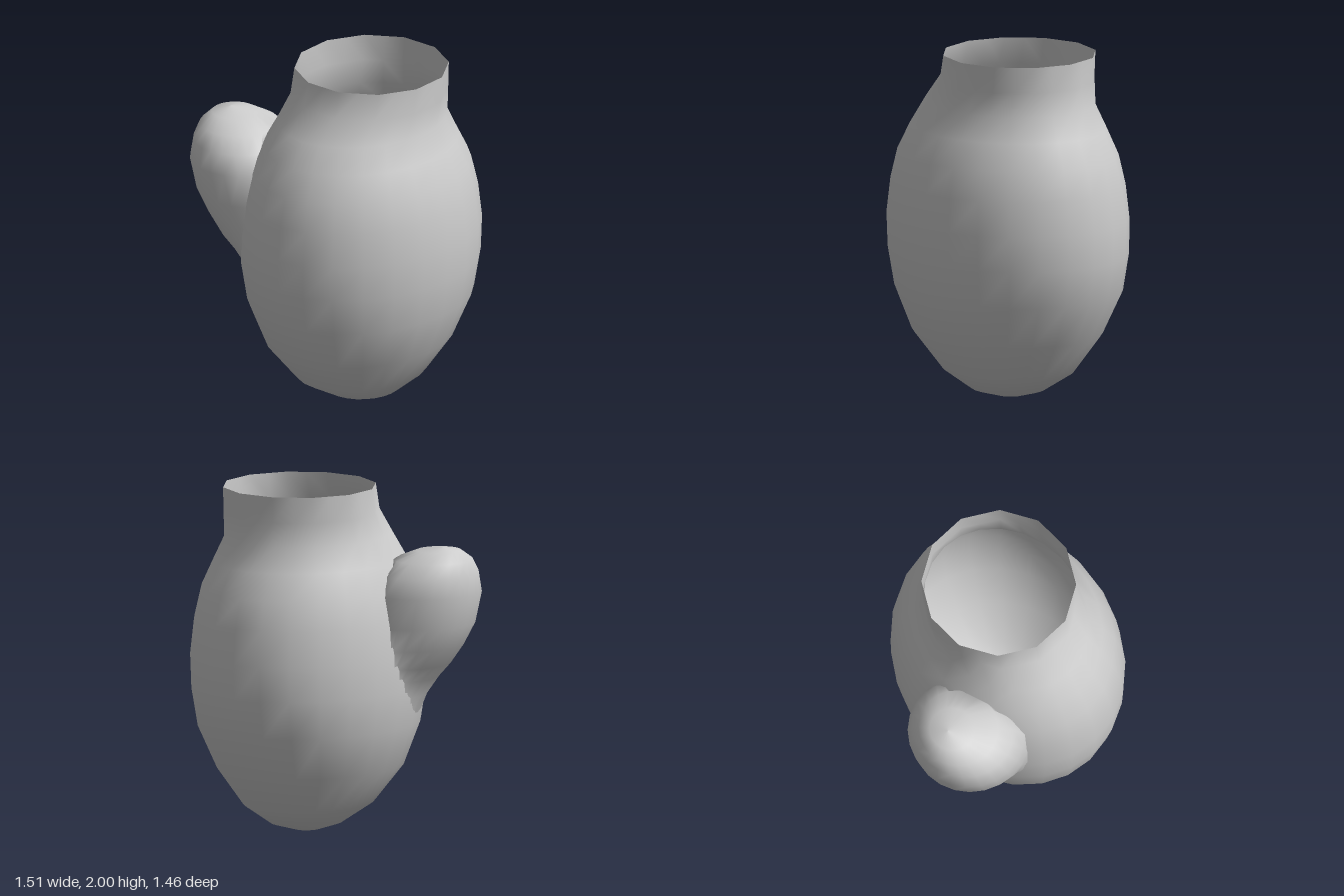
import * as THREE from 'three';

const SIDES = 24;

// Cross-sections: [y, centre x, centre z, radius x, radius z]
const BODY = [
  [0.00, 0.13, 0.00, 0.00, 0.00],
  [0.01, 0.13, -0.01, 0.07, 0.08],
  [0.05, 0.14, -0.01, 0.20, 0.22],
  [0.16, 0.13, 0.00, 0.34, 0.405],
  [0.38, 0.125, 0.01, 0.50, 0.575],
  [0.63, 0.125, 0.00, 0.592, 0.69],
  [0.85, 0.127, 0.00, 0.622, 0.73],
  [1.05, 0.13, 0.00, 0.627, 0.735],
  [1.25, 0.13, 0.00, 0.608, 0.71],
  [1.42, 0.13, 0.00, 0.57, 0.67],
  [1.57, 0.127, 0.00, 0.51, 0.595],
  [1.71, 0.127, -0.01, 0.441, 0.52],
  [1.85, 0.127, -0.065, 0.438, 0.46],
  [2.00, 0.127, -0.083, 0.438, 0.443],
];
const THUMB = [
  [0.66, -0.10, 0.22, 0.22, 0.20],
  [0.80, -0.19, 0.26, 0.27, 0.25],
  [0.90, -0.235, 0.28, 0.285, 0.28],
  [0.98, -0.285, 0.30, 0.30, 0.30],
  [1.09, -0.34, 0.32, 0.32, 0.315],
  [1.22, -0.39, 0.34, 0.335, 0.33],
  [1.40, -0.43, 0.35, 0.33, 0.34],
  [1.51, -0.46, 0.355, 0.285, 0.30],
  [1.59, -0.495, 0.36, 0.225, 0.23],
  [1.645, -0.54, 0.36, 0.125, 0.13],
  [1.665, -0.57, 0.36, 0.00, 0.00],
];

// Skin a stack of rings; each point can be adjusted by a rule
function loft(rings, adjust) {
  const pos = [], index = [];
  rings.forEach(([y, cx, cz, rx, rz], j) => {
    for (let i = 0; i < SIDES; i++) {
      const a = (i / SIDES) * Math.PI * 2 + 0.14;
      const p = new THREE.Vector3(cx + rx * Math.cos(a), y, cz + rz * Math.sin(a));
      adjust(p, i, j, cx, cz);
      pos.push(p.x, p.y, p.z);
      if (j === rings.length - 1) continue;
      const k = (i + 1) % SIDES, lo = j * SIDES, hi = lo + SIDES;
      if (rings[j][3] > 0) index.push(lo + i, hi + i, lo + k);
      if (rings[j + 1][3] > 0) index.push(lo + k, hi + i, hi + k);
    }
  });
  const g = new THREE.BufferGeometry();
  g.setAttribute('position', new THREE.Float32BufferAttribute(pos, 3));
  g.setIndex(index);
  g.computeVertexNormals();
  return g;
}

// Body section at any height
function bodyAt(y) {
  const j = Math.max(1, BODY.findIndex((r) => r[0] >= y));
  const t = (y - BODY[j - 1][0]) / (BODY[j][0] - BODY[j - 1][0]);
  return BODY[j].map((v, n) => THREE.MathUtils.lerp(BODY[j - 1][n], v, t));
}

export function createModel() {
  const group = new THREE.Group();
  const grey = new THREE.MeshStandardMaterial({ color: 0xcccccc, side: THREE.DoubleSide });
  grey.name = 'light grey';

  // Hand and open cuff; the cuff narrows to twelve straight sides
  const hand = new THREE.Mesh(loft(BODY, (p, i, j, cx, cz) => {
    if (j >= BODY.length - 2 && i % 2) {
      const f = Math.cos(Math.PI / 12);
      p.x = cx + (p.x - cx) * f;
      p.z = cz + (p.z - cz) * f;
    }
  }), grey);
  hand.name = 'hand';

  // Thumb; points inside the hand are moved out to just under its skin
  const thumb = new THREE.Mesh(loft(THUMB, (p) => {
    const [, cx, cz, rx, rz] = bodyAt(p.y);
    const d = Math.hypot((p.x - cx) / rx, (p.z - cz) / rz);
    if (d < 0.975) {
      p.x = cx + (p.x - cx) * 0.975 / d;
      p.z = cz + (p.z - cz) * 0.975 / d;
    }
  }), grey);
  thumb.name = 'thumb';

  group.add(hand, thumb);
  return group;
}
